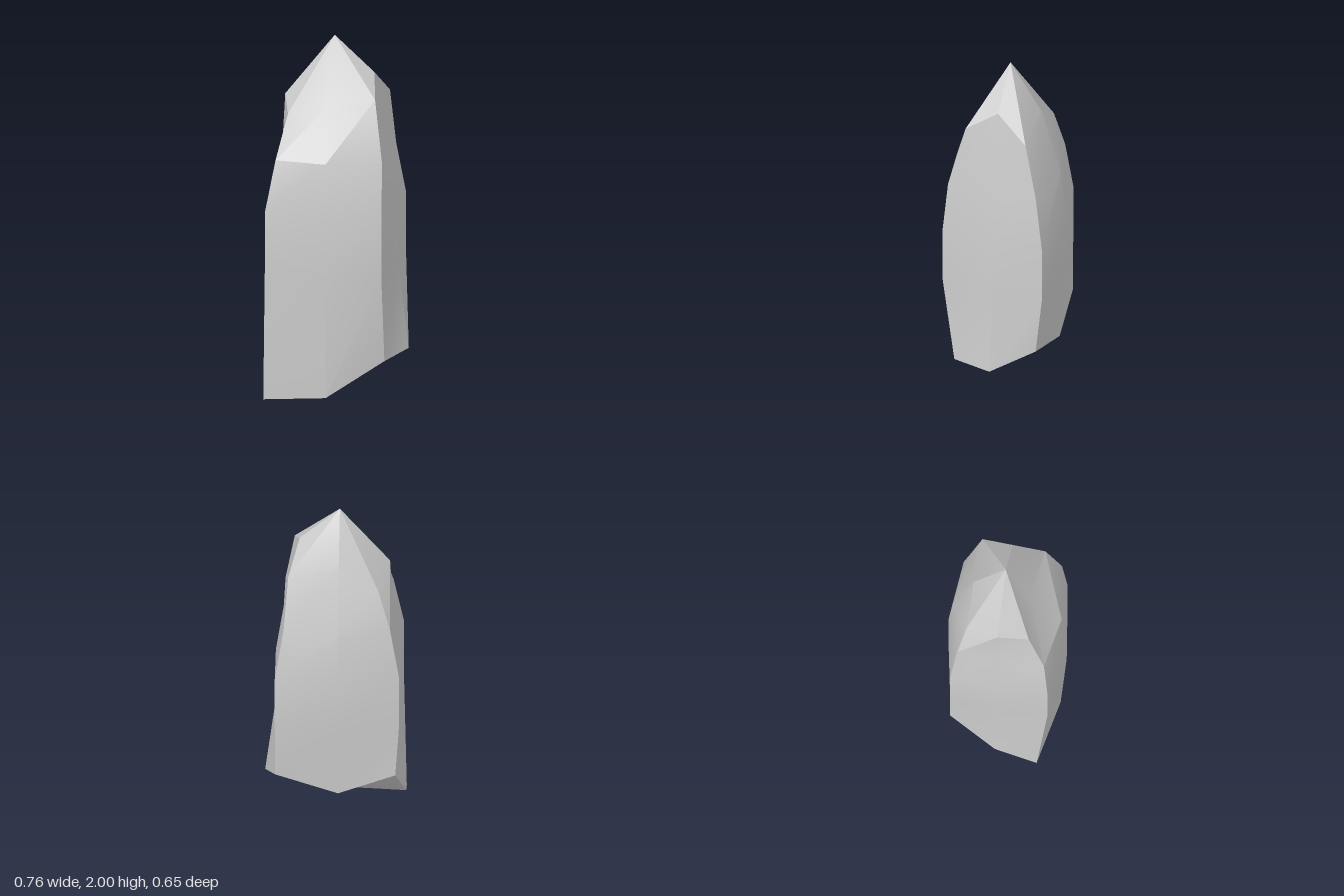
import * as THREE from 'three';
import { toCreasedNormals } from 'three/addons/utils/BufferGeometryUtils.js';

// Each cross-section runs front-left, front, front-right, right, back-right, back, back-left, left
// (sides as seen on the +x = right side), bottom to top.
const foot = [
  [-0.38, 0, 0.22], [-0.025, 0.04, 0.292], [0.285, 0.24, 0.21], [0.38, 0.26, -0.02],
  [0.318, 0.4, -0.265], [-0.025, 0.3, -0.29], [-0.335, 0.41, -0.265], [-0.385, 0.13, -0.01],
];
const belly = [
  [-0.362, 0.277], [-0.025, 0.325], [0.279, 0.278], [0.322, -0.02],
  [0.318, -0.3], [-0.025, -0.326], [-0.355, -0.26], [-0.364, -0.01],
];
const shoulder = [
  [-0.308, 0.248], [-0.025, 0.297], [0.279, 0.248], [0.279, -0.01],
  [0.272, -0.25], [-0.025, -0.297], [-0.306, -0.23], [-0.315, -0.01],
];
const crown = [
  [-0.255, 1.59, 0.155], [-0.025, 1.65, 0.122], [0.226, 1.69, 0.165], [0.193, 1.8, -0.01],
  [0.249, 1.66, -0.185], [-0.025, 1.72, -0.187], [-0.24, 1.58, -0.187], [-0.298, 1.66, -0.01],
];
const tip = [-0.025, 2, -0.01];
const base = [-0.025, 0.145, -0.01];

const atHeight = (section, y) => section.map(([x, z]) => [x, y, z]);

function crystalGeometry() {
  const rings = [foot, atHeight(belly, 0.73), atHeight(belly, 1.06), atHeight(shoulder, 1.35), crown];
  const positions = [];
  const quad = (a, b, c, d) => positions.push(...a, ...b, ...c, ...a, ...c, ...d);

  // side facets between neighbouring cross-sections
  for (let r = 0; r < rings.length - 1; r++) {
    const low = rings[r], high = rings[r + 1];
    for (let i = 0; i < 8; i++) {
      const j = (i + 1) % 8;
      quad(low[i], low[j], high[j], high[i]);
    }
  }
  // four facets meeting at the tip and four at the base
  for (let i = 1; i < 8; i += 2) {
    const j = i + 1, k = i + 2;
    quad(crown[j % 8], crown[k % 8], tip, crown[i]);
    quad(foot[j % 8], foot[i], base, foot[k % 8]);
  }

  const geometry = new THREE.BufferGeometry();
  geometry.setAttribute('position', new THREE.Float32BufferAttribute(positions, 3));
  return toCreasedNormals(geometry, THREE.MathUtils.degToRad(22));
}

export function createModel() {
  const group = new THREE.Group();
  group.name = 'crystalRock';
  const stone = new THREE.Mesh(crystalGeometry(), new THREE.MeshStandardMaterial({ color: 0xcccccc }));
  stone.name = 'stone';
  group.add(stone);
  return group;
}
